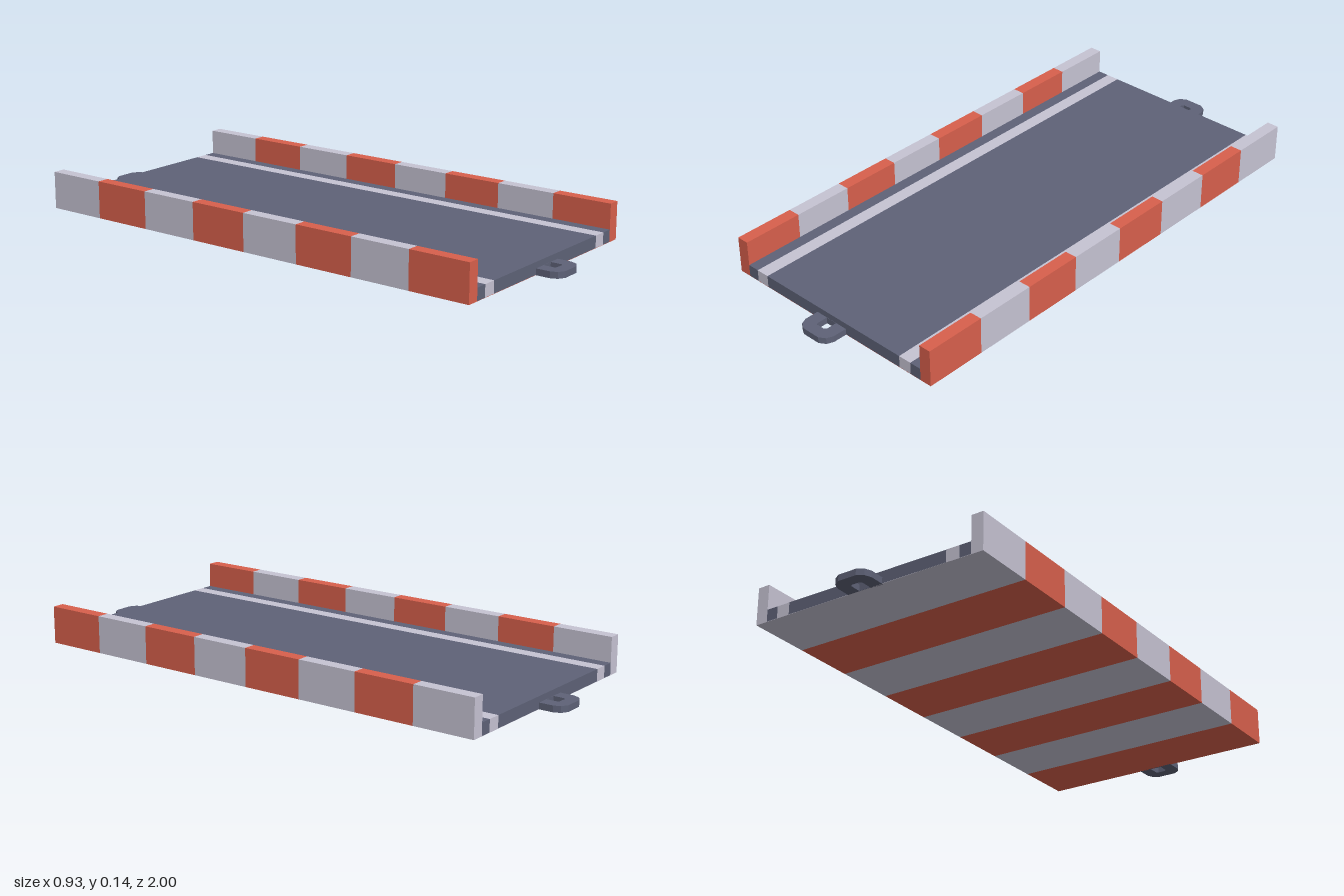
import * as THREE from 'three';

export function createModel() {
  const mat = (name, color) => {
    const m = new THREE.MeshStandardMaterial({ color });
    m.name = name;
    return m;
  };
  const slate = mat('slate road', 0x5e6277);
  const white = mat('pale grey paint', 0xc6c3d3);
  const red = mat('red paint', 0xd8604c);

  const group = new THREE.Group();
  group.name = 'roadSegment';
  const track = new THREE.Group();
  track.name = 'track';
  track.rotation.y = -0.0123; // the piece sits very slightly turned
  group.add(track);

  const HALF_W = 0.455, HALF_L = 0.91, WALL = 0.045;
  const DECK_H = 0.045, WALL_H = 0.137, BASE = 0.001;

  // Box given by its extents
  const box = (name, material, x0, x1, y0, y1, z0, z1) => {
    const mesh = new THREE.Mesh(new THREE.BoxGeometry(x1 - x0, y1 - y0, z1 - z0), material);
    mesh.position.set((x0 + x1) / 2, (y0 + y1) / 2, (z0 + z1) / 2);
    mesh.name = name;
    track.add(mesh);
  };

  // Deck split lengthwise into road and pale lane lines
  const inner = HALF_W - WALL;
  const cuts = [-inner, -0.366, -0.316, 0.316, 0.366, inner];
  for (let i = 0; i < 5; i++) {
    const line = i % 2 === 1;
    box(line ? 'laneLine' : 'road', line ? white : slate,
      cuts[i], cuts[i + 1], BASE, DECK_H, -HALF_L, HALF_L);
  }

  // Striped kerb walls and underside, red first at the front
  const bands = 8, step = (2 * HALF_L) / bands;
  for (let i = 0; i < bands; i++) {
    const z1 = HALF_L - i * step, z0 = z1 - step;
    const paint = i % 2 ? white : red;
    box('leftWallBand', paint, inner, HALF_W, 0, WALL_H, z0, z1);
    box('rightWallBand', paint, -HALF_W, -inner, 0, WALL_H, z0, z1);
    box('undersideBand', paint, -inner, inner, 0, BASE, z0, z1);
  }

  // Connector loop at each end
  const half = [[0.068, -0.005], [0.068, 0.052], [0.058, 0.076], [0.035, 0.09]];
  const outline = [...half, ...half.map(([x, y]) => [-x, y]).reverse()];
  const shape = new THREE.Shape(outline.map(([x, y]) => new THREE.Vector2(x, y)));
  const hole = [[0.022, 0.001], [-0.022, 0.001], [-0.022, 0.04], [-0.015, 0.047], [0.015, 0.047], [0.022, 0.04]];
  shape.holes.push(new THREE.Path(hole.map(([x, y]) => new THREE.Vector2(x, y))));
  const loopGeo = new THREE.ExtrudeGeometry(shape, { depth: 0.023, bevelEnabled: false });
  loopGeo.rotateX(Math.PI / 2);
  loopGeo.translate(0, 0.023, HALF_L);
  for (const [name, turn] of [['frontLoop', 0], ['backLoop', Math.PI]]) {
    const loop = new THREE.Mesh(loopGeo, slate);
    loop.rotation.y = turn;
    loop.name = name;
    track.add(loop);
  }

  return group;
}
